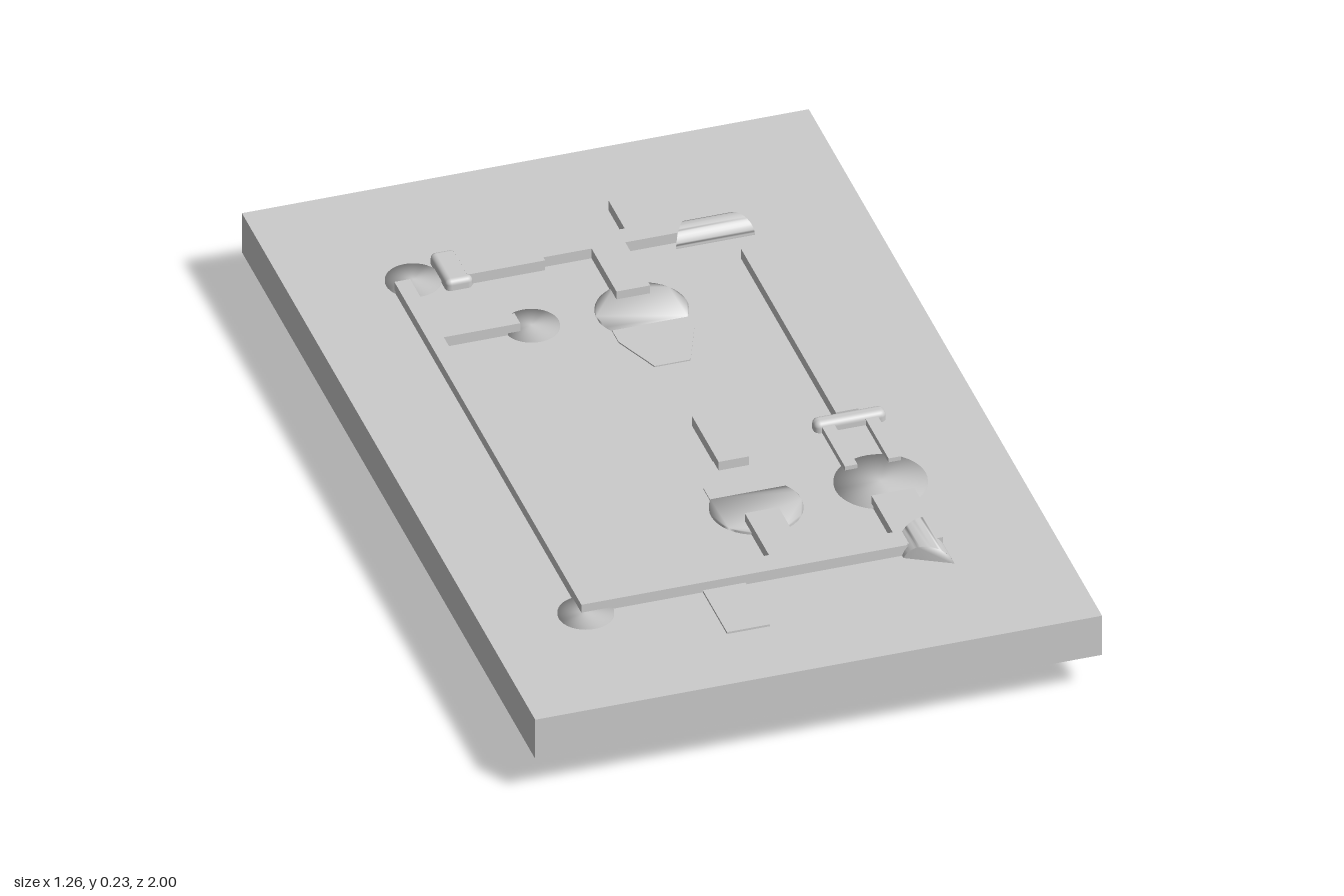
import * as THREE from 'three';
import { mergeVertices } from 'three/addons/utils/BufferGeometryUtils.js';
import { RoundedBoxGeometry } from 'three/addons/geometries/RoundedBoxGeometry.js';

const LOW = 0.02, HIGH = 0.225;

export function createModel() {
  const group = new THREE.Group();
  const material = new THREE.MeshStandardMaterial({ color: 0xcccccc });

  const add = (name, geometry) => {
    const mesh = new THREE.Mesh(geometry, material);
    mesh.name = name;
    group.add(mesh);
    return mesh;
  };

  // Box from its limits in x, z and y
  const box = (name, x0, x1, z0, z1, y0 = LOW, y1 = HIGH) =>
    add(name, new THREE.BoxGeometry(x1 - x0, y1 - y0, z1 - z0))
      .position.set((x0 + x1) / 2, (y0 + y1) / 2, (z0 + z1) / 2);

  const roundedBox = (name, x0, x1, z0, z1, y0, y1, r) =>
    add(name, new RoundedBoxGeometry(x1 - x0, y1 - y0, z1 - z0, 3, r))
      .position.set((x0 + x1) / 2, (y0 + y1) / 2, (z0 + z1) / 2);

  // Upright prism from an outline of [x, z] points
  const plan = (points, y0, y1, hole) => {
    const toVectors = (list) => list.map(([x, z]) => new THREE.Vector2(x, -z));
    const shape = new THREE.Shape(toVectors(points));
    if (hole) shape.holes.push(new THREE.Path(toVectors(hole)));
    return new THREE.ExtrudeGeometry(shape, { depth: y1 - y0, bevelEnabled: false })
      .rotateX(-Math.PI / 2).translate(0, y0, 0);
  };

  // Share normals between the side and the caps for a soft look
  const soften = (geometry) => {
    geometry.deleteAttribute('normal');
    geometry.deleteAttribute('uv');
    const merged = mergeVertices(geometry, 1e-4);
    merged.computeVertexNormals();
    return merged;
  };

  // Base plate
  box('plate', -0.63, 0.63, -1, 1, 0.1, 0.2);

  // Long bars, with an undercut gap below the plate
  const longBar = (name, x0, x1, zBack, zFront) => {
    const profile = [[zBack, LOW], [-0.22, LOW], [-0.29, 0.1], [0.073, 0.1], [0.01, LOW],
      [zFront, LOW], [zFront, HIGH], [zBack, HIGH]];
    const shape = new THREE.Shape(profile.map(([z, y]) => new THREE.Vector2(-z, y)));
    add(name, new THREE.ExtrudeGeometry(shape, { depth: x1 - x0, bevelEnabled: false })
      .rotateY(Math.PI / 2).translate(x0, 0, 0));
  };
  longBar('rightBar', -0.415, -0.38, -0.62, 0.655);
  longBar('leftBar', 0.32, 0.37, -0.51, 0.135);

  // Cross bars, stubs and arm
  box('frontBar', -0.4, 0.31, 0.6, 0.655);
  box('backBar', -0.09, 0.21, -0.66, -0.61);
  box('backBlock', 0.11, 0.21, -0.77, -0.61);
  box('frontBlock', -0.145, -0.05, 0.65, 0.82, 0.095, 0.205);
  box('frontStub', 0.02, 0.095, 0.435, 0.61);
  box('backStub', 0.02, 0.095, -0.62, -0.44);
  box('sideArm', -0.39, -0.21, -0.43, -0.39);

  // Slanted corner bracket with an opening
  add('cornerBracket', plan(
    [[-0.39, 0.4], [-0.22, 0.4], [-0.22, 0.44], [-0.17, 0.61], [-0.39, 0.61]], LOW, HIGH,
    [[-0.38, 0.445], [-0.27, 0.445], [-0.21, 0.6], [-0.38, 0.6]]));

  // Back buckle: rounded block and open frame
  roundedBox('buckleBlock', -0.31, -0.25, -0.705, -0.585, LOW, HIGH, 0.012);
  add('buckleFrame', plan(
    [[-0.26, -0.695], [-0.087, -0.695], [-0.087, -0.598], [-0.26, -0.598]], LOW, HIGH,
    [[-0.247, -0.673], [-0.127, -0.673], [-0.127, -0.62], [-0.247, -0.62]]));

  // Fork at the end of the left bar
  roundedBox('forkBar', 0.265, 0.425, 0.13, 0.165, LOW, HIGH, 0.014);
  box('forkProng', 0.28, 0.308, 0.15, 0.32, LOW, 0.215);
  box('forkProng', 0.377, 0.405, 0.15, 0.32, LOW, 0.215);
  box('forkPost', 0.295, 0.39, 0.455, 0.65);

  // Round pegs
  for (const [name, x, z, r] of [
    ['peg', -0.18, -0.405, 0.06], ['peg', -0.365, -0.645, 0.06],
    ['peg', -0.405, 0.655, 0.06], ['largePeg', 0.34, 0.38, 0.1],
  ]) {
    add(name, soften(new THREE.CylinderGeometry(r, r, 0.165, 40))).position.set(x, 0.1225, z);
  }

  // Cut pegs with tapered tongues, facing each other
  for (const [side, tip] of [[1, 0.2], [-1, 0.18]]) {
    const start = Math.asin(-0.055 / 0.1), arc = [];
    for (let i = 0; i <= 28; i++) {
      const a = start + (Math.PI - 2 * start) * i / 28;
      arc.push([0.06 + 0.1 * Math.cos(a), side * (0.39 + 0.1 * Math.sin(a))]);
    }
    add('cutPeg', soften(plan(arc, 0.04, 0.205)));
    add('tongue', plan([[-0.024, side * 0.34], [0.144, side * 0.34], [0.144, side * 0.29],
      [0.1, side * tip], [0.02, side * tip], [-0.024, side * 0.29]], 0.003, 0.203));
  }
  box('tongueTip', 0.027, 0.095, 0.055, 0.235);

  // Rounded wedges: an oval section whose length grows across its width
  const wedge = (name, shortLength, longLength, width) => {
    const r = width / 2, h = 0.1 - r;
    const shape = new THREE.Shape();
    shape.absarc(0, h, r, 0, Math.PI, false);
    shape.absarc(0, -h, r, Math.PI, Math.PI * 2, false);
    const geometry = new THREE.ExtrudeGeometry(shape, { depth: 1, bevelEnabled: false, curveSegments: 14 })
      .translate(0, 0, -0.5);
    const p = geometry.attributes.position;
    for (let i = 0; i < p.count; i++) {
      const t = p.getX(i) / width + 0.5;
      p.setZ(i, p.getZ(i) * THREE.MathUtils.lerp(shortLength, longLength, t));
    }
    return add(name, soften(geometry));
  };
  wedge('frontWedge', 0.05, 0.16, 0.1).position.set(0.346, 0.136, 0.638);
  const backWedge = wedge('backWedge', 0.09, 0.175, 0.07);
  backWedge.rotation.y = -Math.PI / 2;
  backWedge.position.set(0.288, 0.136, -0.622);

  return group;
}
